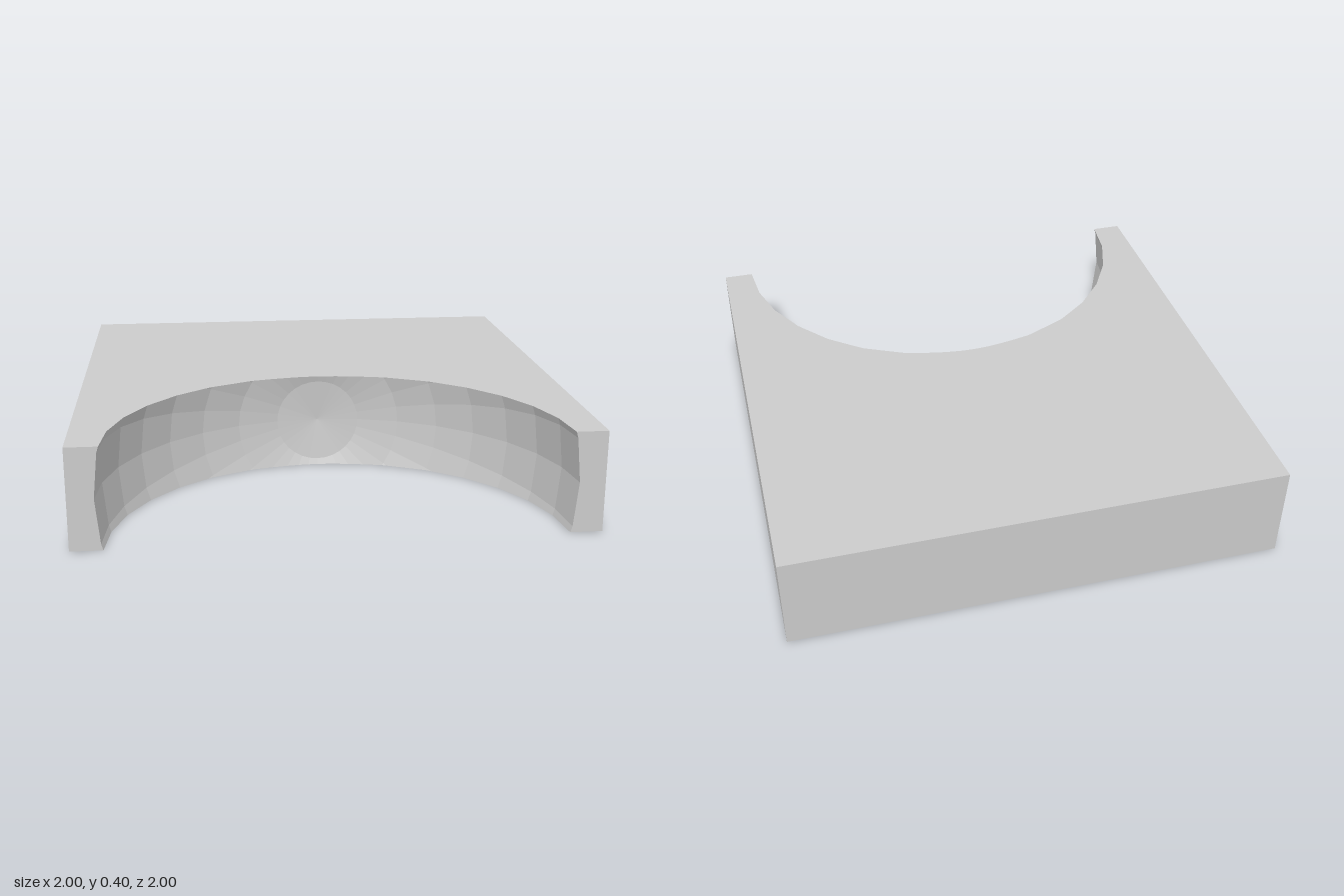
import * as THREE from 'three';

const R = 0.9, H = 0.2, RINGS = 8, SEGMENTS = 32; // cavity radius, half slab thickness, facets
const material = new THREE.MeshStandardMaterial({ color: 0xcccccc, flatShading: true });

// Point on the hollow: pole at the back, equator on the front plane z = 1
function spherePoint(i, j) {
  const t = (i / RINGS) * Math.PI / 2, a = (j / SEGMENTS) * Math.PI * 2;
  return new THREE.Vector3(R * Math.sin(t) * Math.cos(a), R * Math.sin(t) * Math.sin(a), 1 - R * Math.cos(t));
}

// Cut a polygon to side * y <= H, noting the points that lie on the cut
function clip(poly, side, cuts) {
  const out = [];
  poly.forEach((p, k) => {
    const q = poly[(k + 1) % poly.length];
    const dp = side * p.y - H, dq = side * q.y - H;
    if (dp <= 0) out.push(p);
    if (dp * dq < 0) {
      const c = p.clone().lerp(q, dp / (dp - dq));
      out.push(c);
      cuts.push(c);
    }
  });
  return out;
}

export function createModel() {
  const group = new THREE.Group();
  const add = (name, geometry) => {
    const mesh = new THREE.Mesh(geometry, material);
    mesh.name = name;
    group.add(mesh);
  };
  const shapeFrom = (pts) => new THREE.ShapeGeometry(new THREE.Shape(pts.map(([x, y]) => new THREE.Vector2(x, y))));

  // Faceted spherical hollow, trimmed to the slab thickness
  const positions = [], topCuts = [], bottomCuts = [];
  for (let i = 0; i < RINGS; i++) {
    for (let j = 0; j < SEGMENTS; j++) {
      let poly = [spherePoint(i, j), spherePoint(i + 1, j), spherePoint(i + 1, j + 1)];
      if (i > 0) poly.push(spherePoint(i, j + 1));
      poly = clip(clip(poly, 1, topCuts), -1, bottomCuts);
      for (let k = 1; k < poly.length - 1; k++) {
        for (const p of [poly[0], poly[k], poly[k + 1]]) positions.push(p.x, p.y + H, p.z);
      }
    }
  }
  const hollow = new THREE.BufferGeometry();
  hollow.setAttribute('position', new THREE.Float32BufferAttribute(positions, 3));
  hollow.computeVertexNormals();
  add('sphericalHollow', hollow);

  // Top and bottom faces follow the rim of the hollow
  const rim = topCuts.sort((a, b) => a.x - b.x)
    .filter((p, k, all) => k === 0 || p.distanceTo(all[k - 1]) > 1e-5);
  const outline = [[-1, 1], ...rim.map((p) => [p.x, p.z]), [1, 1], [1, -1], [-1, -1]];
  add('topFace', shapeFrom(outline.map(([x, z]) => [x, -z])).rotateX(-Math.PI / 2).translate(0, 2 * H, 0));
  add('bottomFace', shapeFrom(outline).rotateX(Math.PI / 2));

  // Front ends of the two arms, bowed on the inner edge
  const rimX = rim[rim.length - 1].x;
  const arc = [-1, 0, 1].map((j) => spherePoint(RINGS, j)).map((p) => [p.x, p.y + H]);
  const end = [[rimX, 0], ...arc, [rimX, 2 * H], [1, 2 * H], [1, 0]];
  for (const [name, s] of [['leftArmEnd', 1], ['rightArmEnd', -1]]) {
    add(name, shapeFrom(end.map(([x, y]) => [s * x, y])).translate(0, 0, 1));
  }

  // Flat back and side walls
  for (const [name, turn] of [['leftWall', 1], ['backWall', 2], ['rightWall', 3]]) {
    add(name, new THREE.PlaneGeometry(2, 2 * H).translate(0, H, 1).rotateY(turn * Math.PI / 2));
  }
  return group;
}
